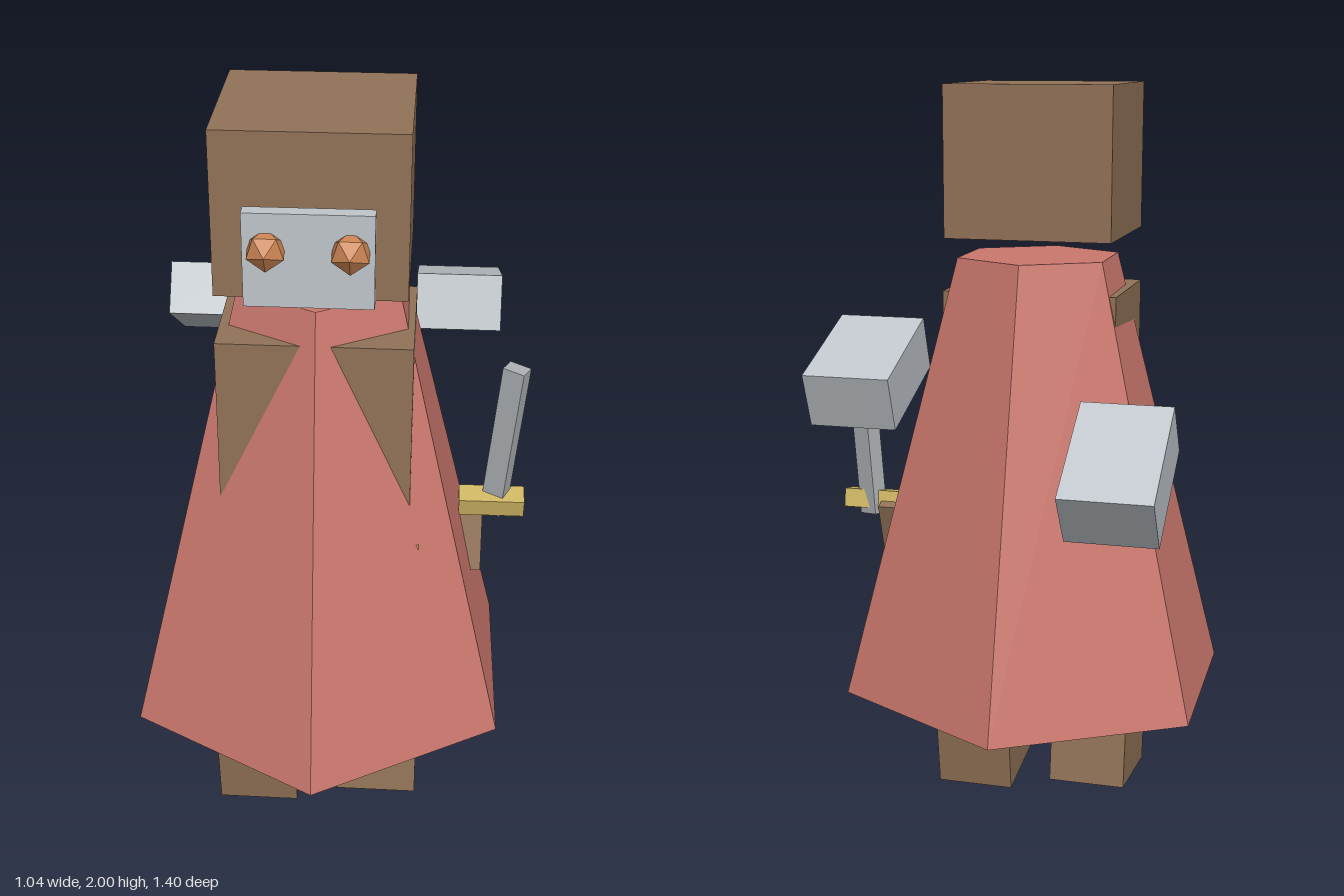
import * as THREE from 'three';

const paint = (name, color, flat = true) => {
  const m = new THREE.MeshStandardMaterial({ color, flatShading: flat });
  m.name = name;
  return m;
};

export function createModel() {
  const model = new THREE.Group();
  model.name = 'cloakedFigure';

  const brown = paint('brown', 0x917257);
  const red = paint('clothRed', 0xcb786d);
  const pale = paint('paleSteel', 0xc0c6cb);
  const blade = paint('bladeSteel', 0xabafb3);
  const gold = paint('gold', 0xd0b764);
  const copper = paint('copper', 0xcb8453);

  const add = (name, geometry, material, position, rotation = [0, 0.02, 0]) => {
    const mesh = new THREE.Mesh(geometry, material);
    mesh.name = name;
    mesh.position.set(...position);
    mesh.rotation.set(...rotation, 'YXZ');
    model.add(mesh);
    return mesh;
  };
  const box = (name, size, material, position, rotation) =>
    add(name, new THREE.BoxGeometry(...size), material, position, rotation);

  // Head with face plate and faceted eyes
  box('head', [0.452, 0.4, 0.423], brown, [-0.024, 1.8, 0.212]);
  box('facePlate', [0.3, 0.228, 0.038], pale, [-0.019, 1.714, 0.453]);
  for (const [name, x] of [['rightEye', -0.114], ['leftEye', 0.077]]) {
    add(name, new THREE.IcosahedronGeometry(0.05, 0), copper, [x, 1.74, 0.473], [0.553, 0.02, 0]);
  }

  // Six-sided cloak around the torso and belt
  add('cloak', new THREE.CylinderGeometry(0.228, 0.555, 1.21, 6), red, [-0.021, 0.94, 0.15], [0.004, 0.036, 0]);
  box('torso', [0.476, 0.56, 0.35], brown, [-0.021, 1.175, 0.208]);
  box('belt', [0.518, 0.09, 0.38], gold, [-0.017, 0.865, 0.21]);

  // Legs in mid-stride, each sharing the tilt of its foot
  const strides = [
    { side: 'left', x: 0.143, y: 0.11, z: 0.195, tilt: -0.14 },
    { side: 'right', x: -0.186, y: 0.108, z: 0.233, tilt: 0.13 },
  ];
  for (const { side, x, y, z, tilt } of strides) {
    box(side + 'Foot', [0.216, 0.178, 0.3], brown, [x, y, z], [tilt, 0.02, 0]);
    const rise = 0.3;
    box(side + 'Leg', [0.193, 0.6, 0.203], brown,
      [x, y + rise * Math.cos(tilt), z + rise * Math.sin(tilt)], [tilt, 0.02, 0]);
  }

  // Floating blocks trailing behind the shoulders
  box('leftTrailingBlock', [0.225, 0.147, 0.307], pale, [0.317, 1.287, -0.27], [-0.357, 0.02, 0]);
  box('rightTrailingBlock', [0.225, 0.151, 0.304], pale, [-0.403, 1.134, -0.532], [-0.593, 0.02, 0]);

  // Sword hanging beside the left hip
  box('swordHilt', [0.06, 0.21, 0.062], brown, [0.378, 0.748, 0.072], [-0.31, 0.02, 0]);
  box('swordGuard', [0.175, 0.052, 0.063], gold, [0.43, 0.845, 0.069], [0.2, 0.03, 0]);
  const bladePivot = new THREE.Group();
  bladePivot.name = 'swordBlade';
  bladePivot.position.set(0.457, 1.032, 0.066);
  bladePivot.rotation.set(0.045, 0, -0.09);
  const bladeMesh = new THREE.Mesh(new THREE.BoxGeometry(0.06, 0.45, 0.045), blade);
  bladeMesh.name = 'bladeBar';
  bladeMesh.rotation.y = -0.45;
  bladePivot.add(bladeMesh);
  model.add(bladePivot);

  return model;
}
